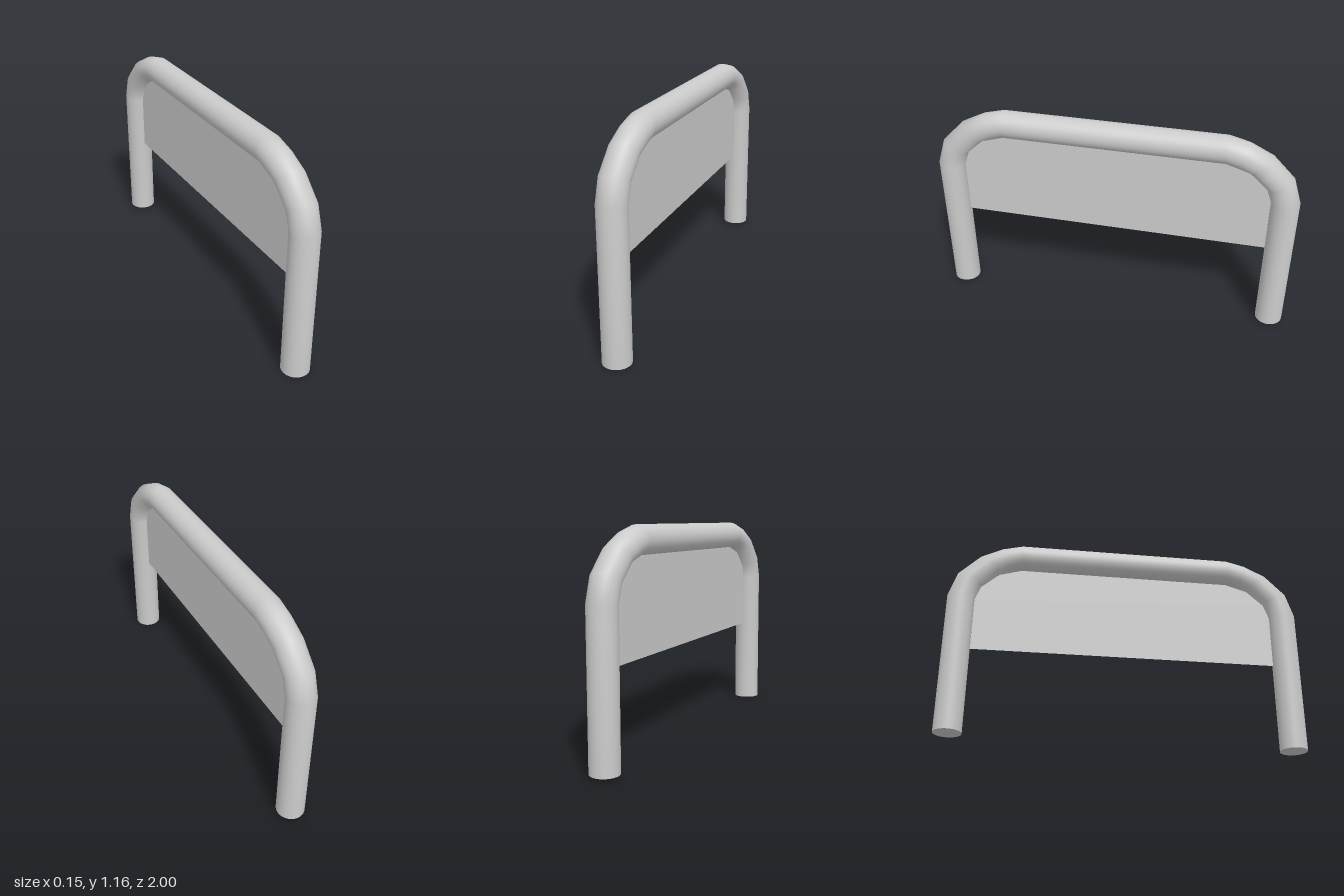
import * as THREE from 'three';

const R = 0.075;

// Bend stations of one side: [z, y, tilt of the ring in degrees]
const BEND = [
  [0.925, 0.807, 4], [0.888, 0.917, 26], [0.781, 1.019, 40],
  [0.686, 1.06, 68], [0.6, 1.083, 90],
];
const FEET = { front: 0, back: 0.02 };

// Path that steps exactly through its stations, so the bends stay faceted
class SteppedPath extends THREE.Curve {
  constructor(stations) {
    super();
    this.stations = stations;
  }
  station(u) {
    return this.stations[Math.round(u * (this.stations.length - 1))];
  }
  getPoint(u, target = new THREE.Vector3()) {
    const [z, y] = this.station(u);
    return target.set(0, y, z);
  }
  getPointAt(u, target) {
    return this.getPoint(u, target);
  }
  getTangentAt(u, target = new THREE.Vector3()) {
    const a = THREE.MathUtils.degToRad(this.station(u)[2]);
    return target.set(0, Math.cos(a), -Math.sin(a));
  }
}

export function createModel() {
  const group = new THREE.Group();
  group.name = 'barrier';
  const material = new THREE.MeshStandardMaterial({ color: 0xcccccc });
  const sheet = new THREE.MeshStandardMaterial({ color: 0xcccccc, side: THREE.DoubleSide });

  const add = (name, geometry, mat = material) => {
    const mesh = new THREE.Mesh(geometry, mat);
    mesh.name = name;
    group.add(mesh);
    return mesh;
  };

  // Bent tube: front leg, front bend, top rail, mirrored back bend, back leg
  const stations = [
    [0.925, FEET.front, 0],
    ...BEND,
    ...BEND.map(([z, y, a]) => [-z, y, 180 - a]).reverse(),
    [-0.925, FEET.back, 180],
  ];
  add('tubeFrame', new THREE.TubeGeometry(new SteppedPath(stations), stations.length - 1, R, 32, false));

  // Closed ends of the legs
  for (const [name, y, z] of [['frontFoot', FEET.front, 0.925], ['backFoot', FEET.back, -0.925]]) {
    add(name, new THREE.CircleGeometry(R, 32).rotateX(Math.PI / 2)).position.set(0, y, z);
  }

  // Thin infill panel, its edge following the inside of the tube
  const edge = [[0.85, 0.5], [0.85, 0.8], [0.823, 0.89], [0.727, 0.975], [0.603, 1.013]];
  const outline = [...edge, ...edge.map(([z, y]) => [-z, y]).reverse()];
  const panel = new THREE.Shape(outline.map(([z, y]) => new THREE.Vector2(z, y)));
  add('infillPanel', new THREE.ShapeGeometry(panel).rotateY(-Math.PI / 2), sheet);

  return group;
}
